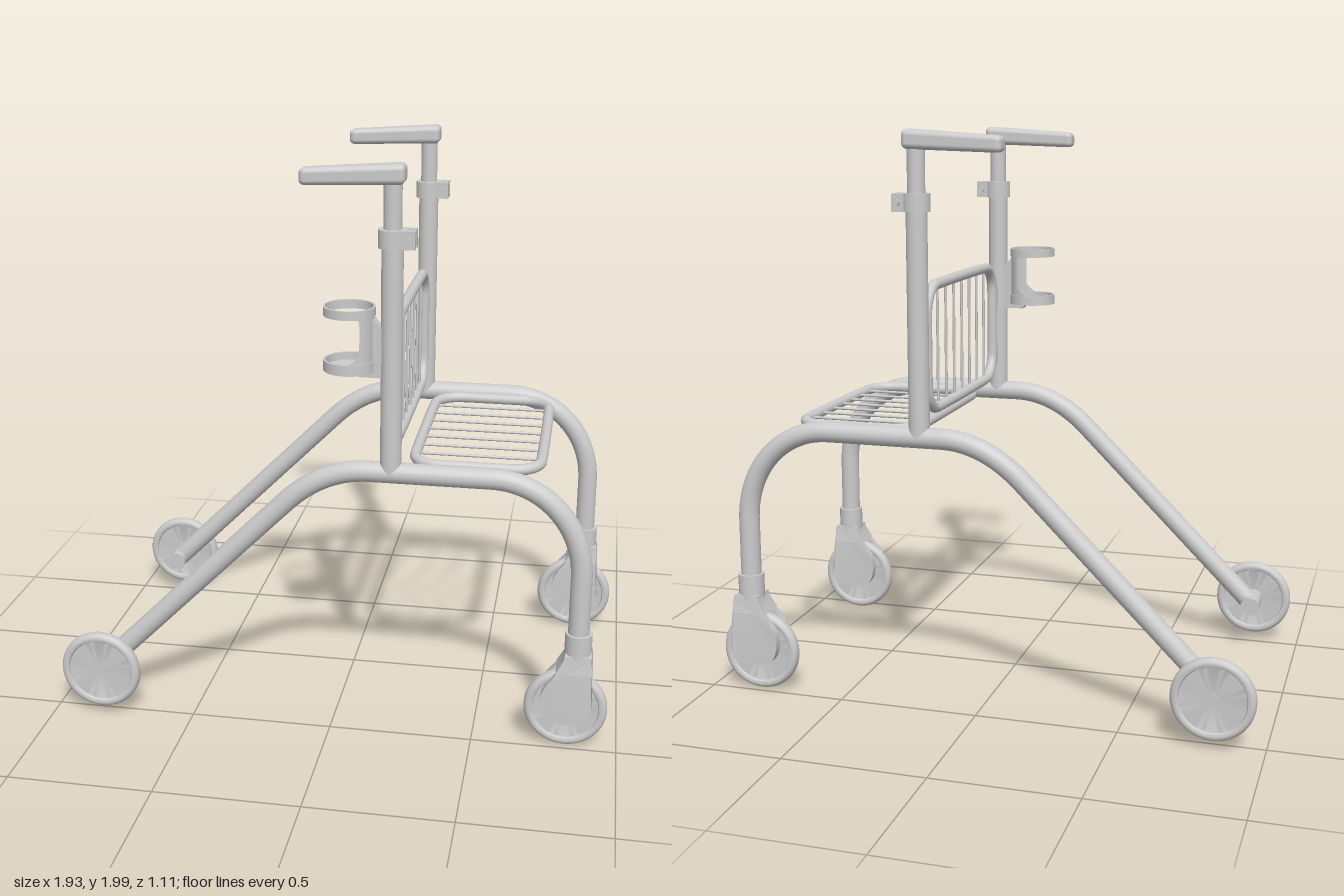
import * as THREE from 'three';
import { toCreasedNormals } from 'three/addons/utils/BufferGeometryUtils.js';
import { RoundedBoxGeometry } from 'three/addons/geometries/RoundedBoxGeometry.js';

const grey = new THREE.MeshStandardMaterial({ color: 0xcccccc });
const greyThin = new THREE.MeshStandardMaterial({ color: 0xcccccc, side: THREE.DoubleSide });
const V = (x, y, z = 0) => new THREE.Vector3(x, y, z);
const SIDE_Z = 0.463;

function add(parent, name, geometry, x = 0, y = 0, z = 0, material = grey) {
  const mesh = new THREE.Mesh(geometry, material);
  mesh.name = name;
  mesh.position.set(x, y, z);
  parent.add(mesh);
  return mesh;
}
const rod = (r, length, sides = 24) => new THREE.CylinderGeometry(r, r, length, sides);
const rodZ = (r, length, sides = 24) => rod(r, length, sides).rotateX(Math.PI / 2);
const lathe = (pts, sides = 48) =>
  toCreasedNormals(new THREE.LatheGeometry(pts.map(p => new THREE.Vector2(...p)), sides), 0.6);

// Wheel with a rounded tyre and a recessed disc, axle along z
function wheelGeometry() {
  const half = [[0, 0.012], [0.113, 0.012], [0.116, 0.019], [0.123, 0.022], [0.132, 0.021], [0.139, 0.015], [0.143, 0.006]];
  const profile = [...half.map(([r, h]) => [r, -h]), ...half.slice().reverse()];
  return lathe(profile).rotateX(Math.PI / 2);
}

// Bent tube running from the rear axle, over the top and down to the caster
function frameGeometry() {
  const path = new THREE.CurvePath();
  path.add(new THREE.LineCurve3(V(-0.82, 0.175), V(-0.16, 0.835)));
  path.add(new THREE.QuadraticBezierCurve3(V(-0.16, 0.835), V(-0.027, 0.968), V(0.13, 0.968)));
  path.add(new THREE.LineCurve3(V(0.13, 0.968), V(0.54, 0.968)));
  path.add(new THREE.CubicBezierCurve3(V(0.54, 0.968), V(0.71, 0.968), V(0.852, 0.83), V(0.852, 0.63)));
  path.add(new THREE.LineCurve3(V(0.852, 0.63), V(0.852, 0.38)));
  return new THREE.TubeGeometry(path, 140, 0.036, 24);
}

// Caster fork: two cheeks and a bridge, spreading outward below the collar
const forkHalf = y => 0.044 + 0.018 * THREE.MathUtils.clamp((0.35 - y) / 0.1, 0, 1);
function forkPart(shape, from, to) {
  const g = new THREE.ExtrudeGeometry(shape, { depth: 1, bevelEnabled: false, curveSegments: 8 });
  const p = g.attributes.position;
  for (let i = 0; i < p.count; i++) {
    const h = forkHalf(p.getY(i));
    p.setZ(i, THREE.MathUtils.lerp(from(h), to(h), p.getZ(i)));
  }
  g.deleteAttribute('normal');
  return toCreasedNormals(g, 0.5);
}
function addFork(parent) {
  const cheek = new THREE.Shape();
  cheek.moveTo(0.9, 0.36);
  cheek.lineTo(0.81, 0.36);
  cheek.lineTo(0.808, 0.345);
  cheek.lineTo(0.782, 0.29);
  cheek.lineTo(0.752, 0.25);
  cheek.quadraticCurveTo(0.734, 0.225, 0.735, 0.185);
  cheek.quadraticCurveTo(0.74, 0.11, 0.805, 0.11);
  cheek.lineTo(0.865, 0.11);
  cheek.quadraticCurveTo(0.907, 0.112, 0.908, 0.155);
  cheek.lineTo(0.908, 0.25);
  cheek.lineTo(0.903, 0.345);
  const bridge = new THREE.Shape([[0.9, 0.36], [0.81, 0.36], [0.808, 0.345], [0.782, 0.296], [0.906, 0.296], [0.903, 0.345]]
    .map(p => new THREE.Vector2(...p)));
  add(parent, 'forkCheekA', forkPart(cheek, () => 0.03, h => h));
  add(parent, 'forkCheekB', forkPart(cheek, h => -h, () => -0.03));
  add(parent, 'forkBridge', forkPart(bridge, h => -h + 0.0005, h => h - 0.0005));
  add(parent, 'forkCollar', rod(0.046, 0.09, 32), 0.853, 0.387);
  add(parent, 'casterAxle', rodZ(0.015, 0.1), 0.82, 0.147);
}

// Handgrip tapering toward the rear
function gripGeometry() {
  const g = new RoundedBoxGeometry(0.34, 0.066, 0.084, 4, 0.02);
  const p = g.attributes.position;
  for (let i = 0; i < p.count; i++) {
    const t = THREE.MathUtils.clamp(0.5 - p.getX(i) / 0.34, 0, 1);
    p.setY(i, p.getY(i) * (1 - 0.18 * t) - 0.017 * t);
    p.setZ(i, p.getZ(i) * (1 - 0.3 * t));
  }
  return g;
}

// One side of the frame; s is the side's sign along z
function makeSide(s) {
  const side = new THREE.Group();
  side.name = s > 0 ? 'frontSide' : 'backSide';
  side.position.z = s * SIDE_Z;
  add(side, 'frameTube', frameGeometry());
  add(side, 'rearAxle', rodZ(0.035, 0.125), -0.825, 0.175, s * 0.002);
  add(side, 'rearWheel', wheelGeometry(), -0.825, 0.175, s * 0.07);
  add(side, 'rearHub', rodZ(0.021, 0.032), -0.825, 0.175, s * 0.07);
  addFork(side);
  add(side, 'casterWheel', wheelGeometry(), 0.82, 0.147);

  add(side, 'post', rod(0.036, 0.79), 0.205, 1.365);
  add(side, 'innerPost', rod(0.03, 0.25), 0.205, 1.835);
  add(side, 'clampRing', rod(0.047, 0.06, 32), 0.205, 1.76);
  for (const k of [-1, 1]) add(side, 'clampLug', new THREE.BoxGeometry(0.055, 0.06, 0.026), 0.2535, 1.76, k * 0.021);
  add(side, 'clampBolt', rodZ(0.011, 0.09, 16), 0.262, 1.76);
  add(side, 'grip', gripGeometry(), 0.076, 1.966);
  return side;
}

// Rounded tube loop with thin bars, lying in the yz plane
function makePanel(name) {
  const panel = new THREE.Group();
  panel.name = name;
  const w = 0.378, h = 0.215, r = 0.095, outline = [];
  const corners = [[1, 1], [-1, 1], [-1, -1], [1, -1]];
  corners.forEach(([a, b], c) => {
    for (let i = 0; i <= 8; i++) {
      const t = (c + i / 8) * Math.PI / 2;
      outline.push(V(0, b * (h - r) + r * Math.sin(t), a * (w - r) + r * Math.cos(t)));
    }
  });
  const loop = new THREE.CatmullRomCurve3(outline, true, 'centripetal');
  add(panel, 'loopTube', new THREE.TubeGeometry(loop, 160, 0.019, 16, true));
  for (let i = -3; i <= 3; i++) add(panel, 'bar', rod(0.005, 2 * h, 10), 0, 0, i * 0.0885);
  // Mounting brackets
  for (const s of [-1, 1]) for (const v of [-0.132, 0.083]) {
    add(panel, 'bracket', new RoundedBoxGeometry(0.018, 0.084, 0.022, 2, 0.006), 0, v, s * 0.412);
    add(panel, 'bracketPin', rodZ(0.009, 0.055, 12), 0, v, s * 0.41);
  }
  return panel;
}

// Cup holder behind one post
function makeCupHolder() {
  const cup = new THREE.Group();
  cup.name = 'cupHolder';
  cup.position.set(0.065, 0, SIDE_Z - 0.003);
  const ring = (y0, y1) => lathe([[0.078, y0], [0.086, y0], [0.086, y1], [0.078, y1], [0.078, y0]]);
  add(cup, 'upperRing', ring(1.505, 1.535));
  add(cup, 'lowerRing', ring(1.32, 1.356));
  add(cup, 'floor', rod(0.08, 0.008, 40), 0, 1.326);
  // Curved wall, narrow in the middle and flaring toward the rings
  const wall = new THREE.PlaneGeometry(1, 1, 28, 16), p = wall.attributes.position;
  for (let i = 0; i < p.count; i++) {
    const y = 1.43 + p.getY(i) * 0.17;
    const flare = Math.max(0, (1.4 - y) / 0.05, (y - 1.49) / 0.04);
    const a = p.getX(i) * 2 * (1.0 + 0.55 * Math.min(1, flare) ** 2);
    p.setXYZ(i, 0.082 * Math.cos(a), y, 0.082 * Math.sin(a));
  }
  wall.computeVertexNormals();
  add(cup, 'wall', wall, 0, 0, 0, greyThin);
  // Bracket to the post
  const arm = new THREE.Shape([[0.078, 1.5], [0.115, 1.46], [0.115, 1.3], [0.035, 1.3], [0.02, 1.323], [0.078, 1.323]]
    .map(q => new THREE.Vector2(...q)));
  add(cup, 'mount', new THREE.ExtrudeGeometry(arm, { depth: 0.04, bevelEnabled: false }), 0, 0, -0.02);
  return cup;
}

export function createModel() {
  const model = new THREE.Group();
  model.name = 'walker';
  model.add(makeSide(1), makeSide(-1));

  const backrest = makePanel('backrest');
  backrest.position.set(0.205, 1.255, 0);
  const seat = makePanel('seat');
  seat.rotation.z = -Math.PI / 2;
  seat.position.set(0.48, 0.972, 0);
  model.add(backrest, seat, makeCupHolder());
  return model;
}
